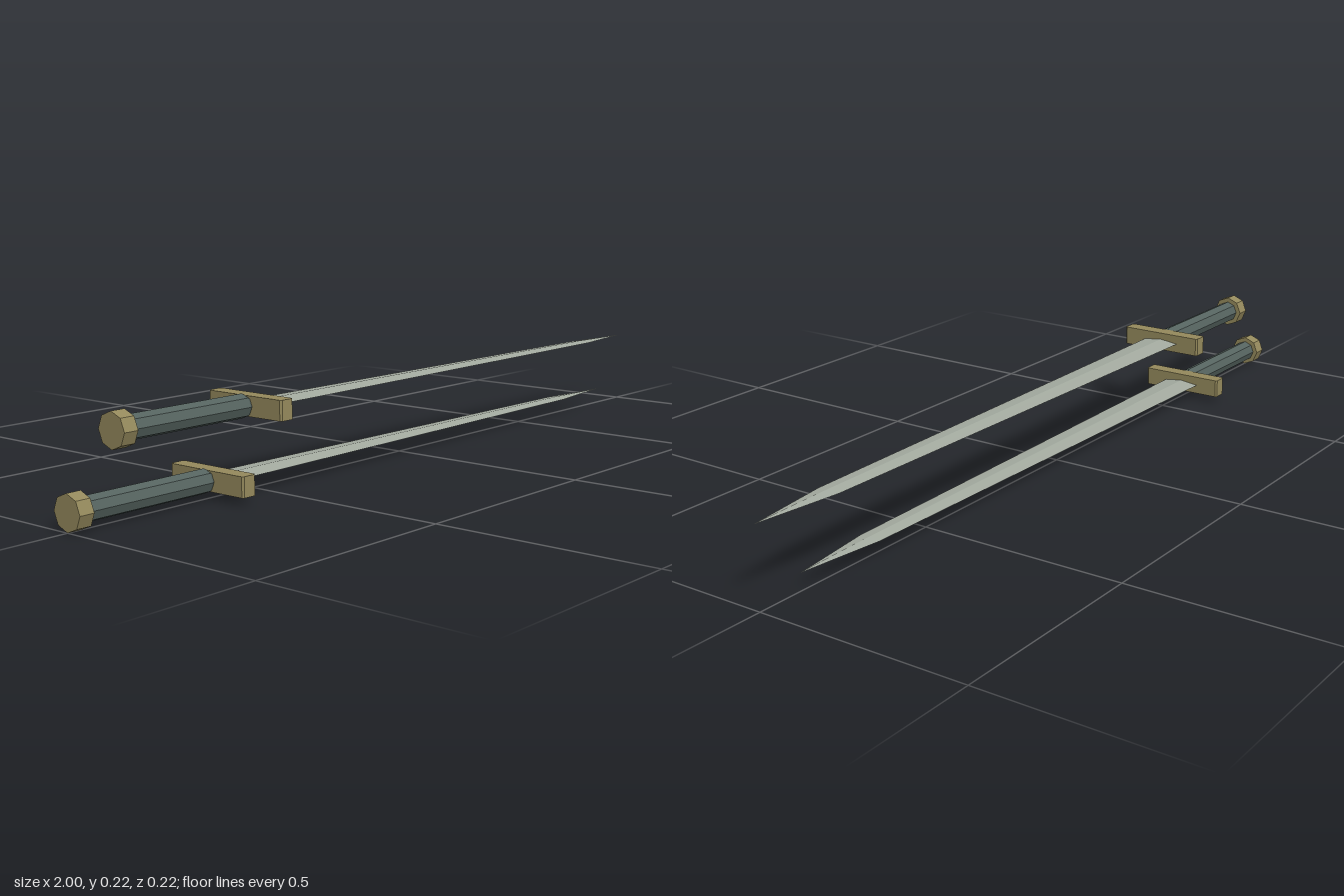
import * as THREE from 'three';

const brass = new THREE.MeshStandardMaterial({ name: 'brass', color: 0x94895c, flatShading: true });
const steel = new THREE.MeshStandardMaterial({ name: 'steel', color: 0xa4aba0, flatShading: true });
const leather = new THREE.MeshStandardMaterial({ name: 'darkGrip', color: 0x55635f, flatShading: true });

function part(name, geometry, material) {
  const mesh = new THREE.Mesh(geometry, material);
  mesh.name = name;
  return mesh;
}

// Eight-sided rod along x, from x0 (radius r0) to x1 (radius r1)
function rod(x0, x1, r0, r1 = r0) {
  return new THREE.CylinderGeometry(r1, r0, x1 - x0, 8)
    .rotateZ(-Math.PI / 2)
    .translate((x0 + x1) / 2, 0, 0);
}

// Diamond-section blade lofted through [x, half width, half thickness]
function bladeGeometry(sections) {
  const rings = sections.map(([x, w, h]) => [[x, h, 0], [x, 0, w], [x, -h, 0], [x, 0, -w]]);
  const pos = [];
  for (let i = 0; i < rings.length - 1; i++) {
    for (let j = 0; j < 4; j++) {
      const k = (j + 1) % 4;
      const a0 = rings[i][j], b0 = rings[i][k];
      const a1 = rings[i + 1][j], b1 = rings[i + 1][k];
      pos.push(...a0, ...b0, ...a1, ...b0, ...b1, ...a1);
    }
  }
  const g = new THREE.BufferGeometry();
  g.setAttribute('position', new THREE.Float32BufferAttribute(pos, 3));
  g.computeVertexNormals();
  return g;
}

// Crossguard bar with chamfered ends, drawn in plan and extruded upward
function guardGeometry(x0, x1, halfLength, halfHeight, c) {
  const l = halfLength;
  const shape = new THREE.Shape([
    [x0 + c, -l], [x1 - c, -l], [x1, -l + c], [x1, l - c],
    [x1 - c, l], [x0 + c, l], [x0, l - c], [x0, -l + c],
  ].map(([x, z]) => new THREE.Vector2(x, z)));
  return new THREE.ExtrudeGeometry(shape, { depth: 2 * halfHeight, bevelEnabled: false })
    .translate(0, 0, -halfHeight)
    .rotateX(-Math.PI / 2);
}

function sword(name) {
  const g = new THREE.Group();
  g.name = name;
  g.add(
    part('pommel', rod(-1, -0.965, 0.039), brass),
    part('grip', rod(-0.965, -0.643, 0.027), leather),
    part('gripShoulder', rod(-0.643, -0.63, 0.027, 0.021), leather),
    part('guard', guardGeometry(-0.636, -0.598, 0.108, 0.0225, 0.004), brass),
    part('blade', bladeGeometry([
      [-0.6, 0.048, 0.006],
      [0.68, 0.027, 0.004],
      [0.885, 0.0005, 0.0003],
    ]), steel),
  );
  return g;
}

export function createModel() {
  const model = new THREE.Group();
  model.name = 'pairOfSwords';
  const lower = sword('lowerSword');
  lower.position.set(0, 0.04, 0);
  const upper = sword('upperSword');
  upper.position.set(0.115, 0.183, 0);
  model.add(lower, upper);
  return model;
}
